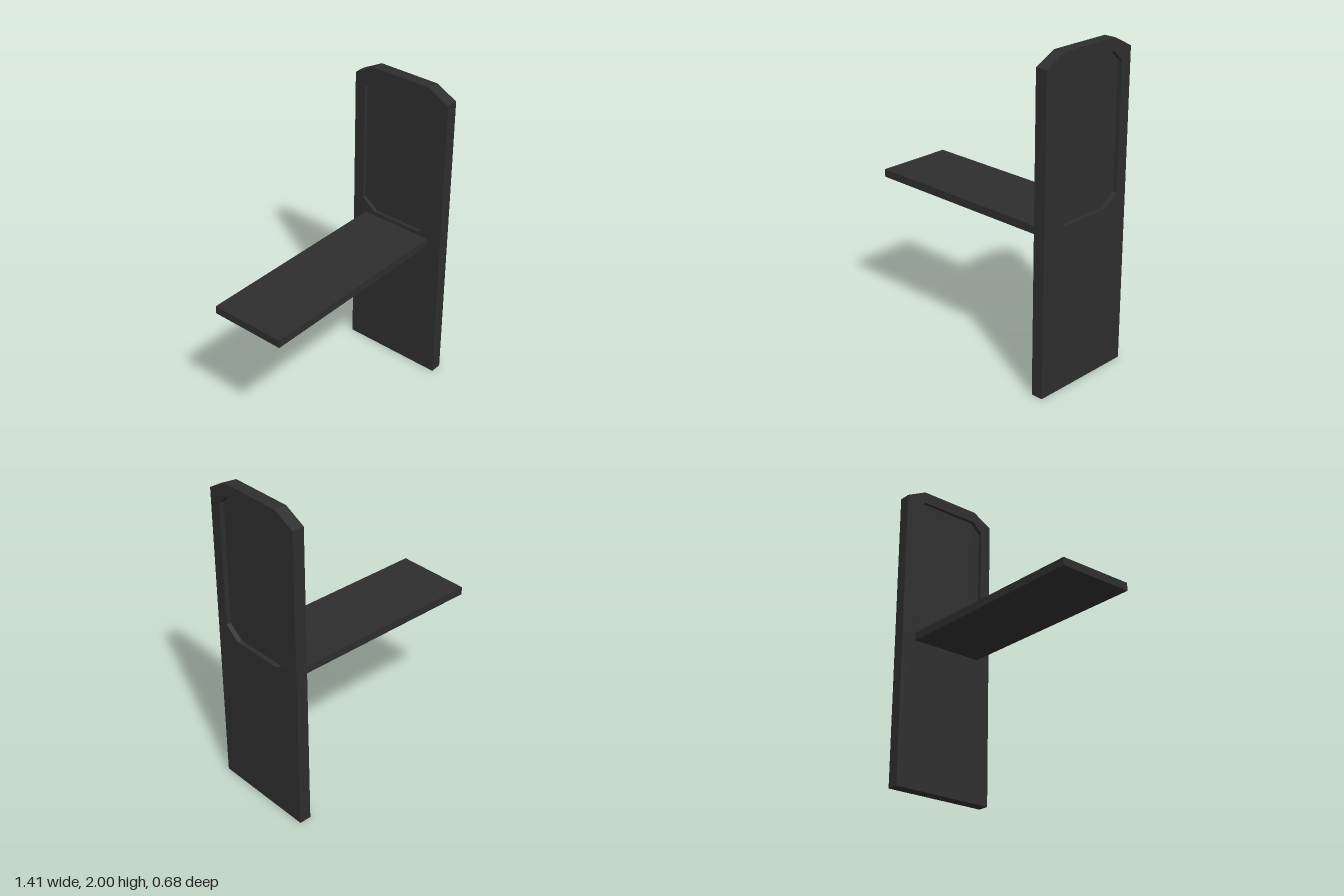
import * as THREE from 'three';

const X_IN = 0.63, X_OUT = 0.706; // inner and outer faces of the upright panel

// Symmetric outline from its half profile, listed bottom to top as [z, y]
function outline(half) {
  const mirrored = half.map(([z, y]) => [-z, y]).reverse();
  return [...half, ...mirrored].map(([z, y]) => new THREE.Vector2(z, y));
}

// Extrude an outline along x, between x0 and x1
function slab(points, x0, x1, hole) {
  const shape = new THREE.Shape(points);
  if (hole) shape.holes.push(new THREE.Path(hole));
  const geometry = new THREE.ExtrudeGeometry(shape, { depth: x1 - x0, bevelEnabled: false });
  return geometry.rotateY(Math.PI / 2).translate(x0, 0, 0);
}

export function createModel() {
  const model = new THREE.Group();
  const charcoal = new THREE.MeshStandardMaterial({ color: 0x2e2e2e });
  charcoal.name = 'charcoal';

  function add(name, geometry) {
    const mesh = new THREE.Mesh(geometry, charcoal);
    mesh.name = name;
    model.add(mesh);
    return mesh;
  }

  const panel = outline([[0.34, 0], [0.34, 1.93], [0.205, 2]]);
  const recess = outline([[0.172, 1.015], [0.268, 1.087], [0.268, 1.86], [0.2, 1.925]]);

  // Upright panel with chamfered top corners and an opening
  add('uprightPanel', slab(panel, X_IN, X_OUT, recess));

  // Thin plate set back from both faces inside the opening
  add('recessedPlate', slab(recess, X_IN + 0.025, X_OUT - 0.03));

  // Horizontal shelf reaching out from the panel
  const length = X_IN + 0.706;
  add('shelf', new THREE.BoxGeometry(length, 0.05, 0.488))
    .position.set(X_IN - length / 2, 0.965, 0);

  return model;
}
